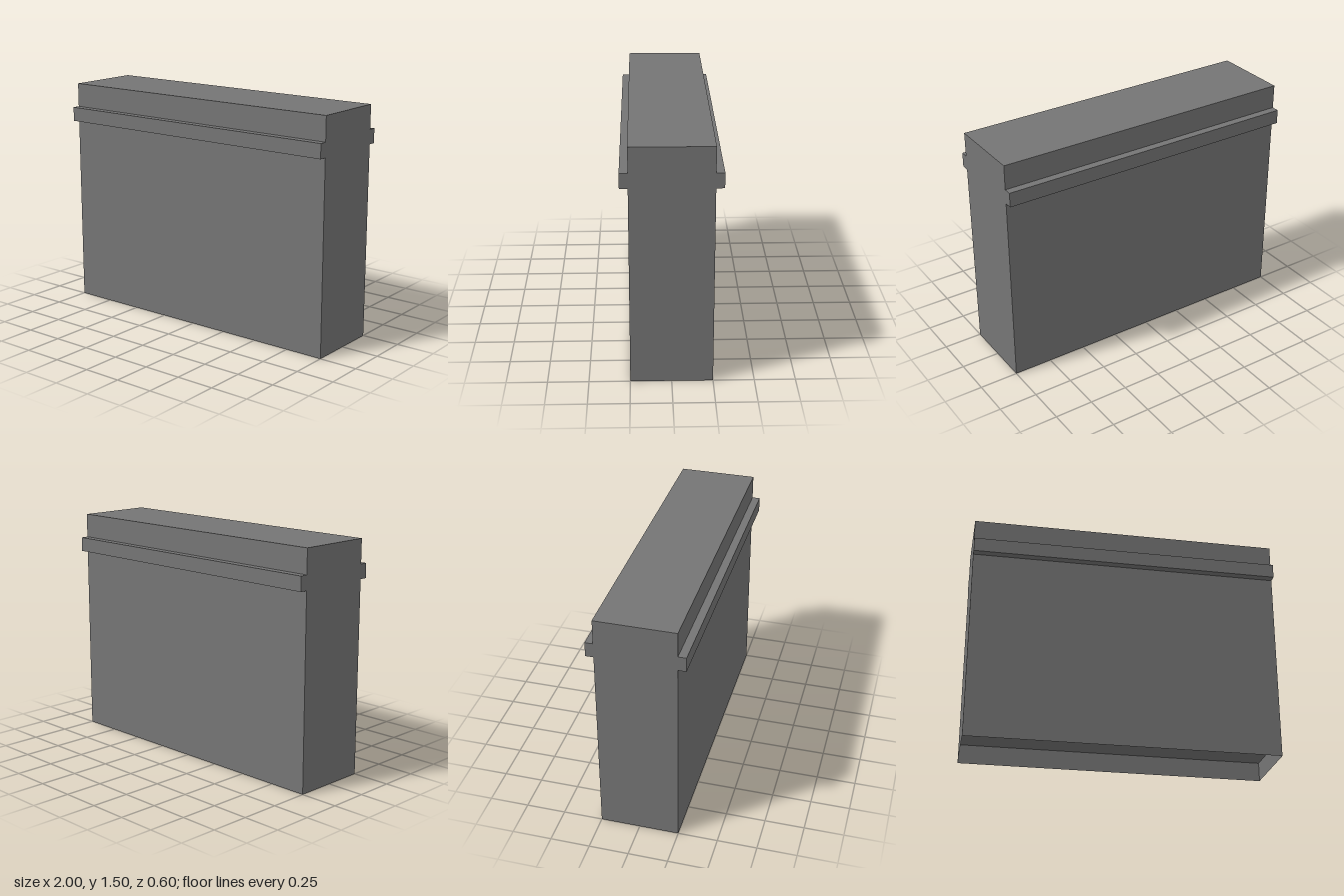
import * as THREE from 'three';

const LENGTH = 2, HEIGHT = 1.5, DEPTH = 0.5;
const RECESS = 0.125; // how far the underside sits above the lower rim
const RAIL_BOTTOM = 1.25, RAIL_TOP = 1.343, RAIL_OUT = 0.05;

export function createModel() {
  const group = new THREE.Group();
  group.name = 'wallBlock';
  const material = new THREE.MeshStandardMaterial({ color: 0x757575, flatShading: true, side: THREE.DoubleSide });

  // Thin-walled body: the bottom face is pushed up, leaving a shallow recess
  const bodyGeometry = new THREE.BoxGeometry(LENGTH, HEIGHT, DEPTH);
  bodyGeometry.translate(0, HEIGHT / 2, 0);
  const { position, normal } = bodyGeometry.attributes;
  for (let i = 0; i < position.count; i++) {
    if (normal.getY(i) < -0.5) position.setY(i, RECESS);
  }
  const body = new THREE.Mesh(bodyGeometry, material);
  body.name = 'body';
  group.add(body);

  // Matching rails along the front and back, flush with the ends
  for (const side of [1, -1]) {
    const rail = new THREE.Mesh(new THREE.BoxGeometry(LENGTH, RAIL_TOP - RAIL_BOTTOM, RAIL_OUT), material);
    rail.position.set(0, (RAIL_TOP + RAIL_BOTTOM) / 2, side * (DEPTH + RAIL_OUT) / 2);
    rail.name = side > 0 ? 'frontRail' : 'backRail';
    group.add(rail);
  }
  return group;
}
